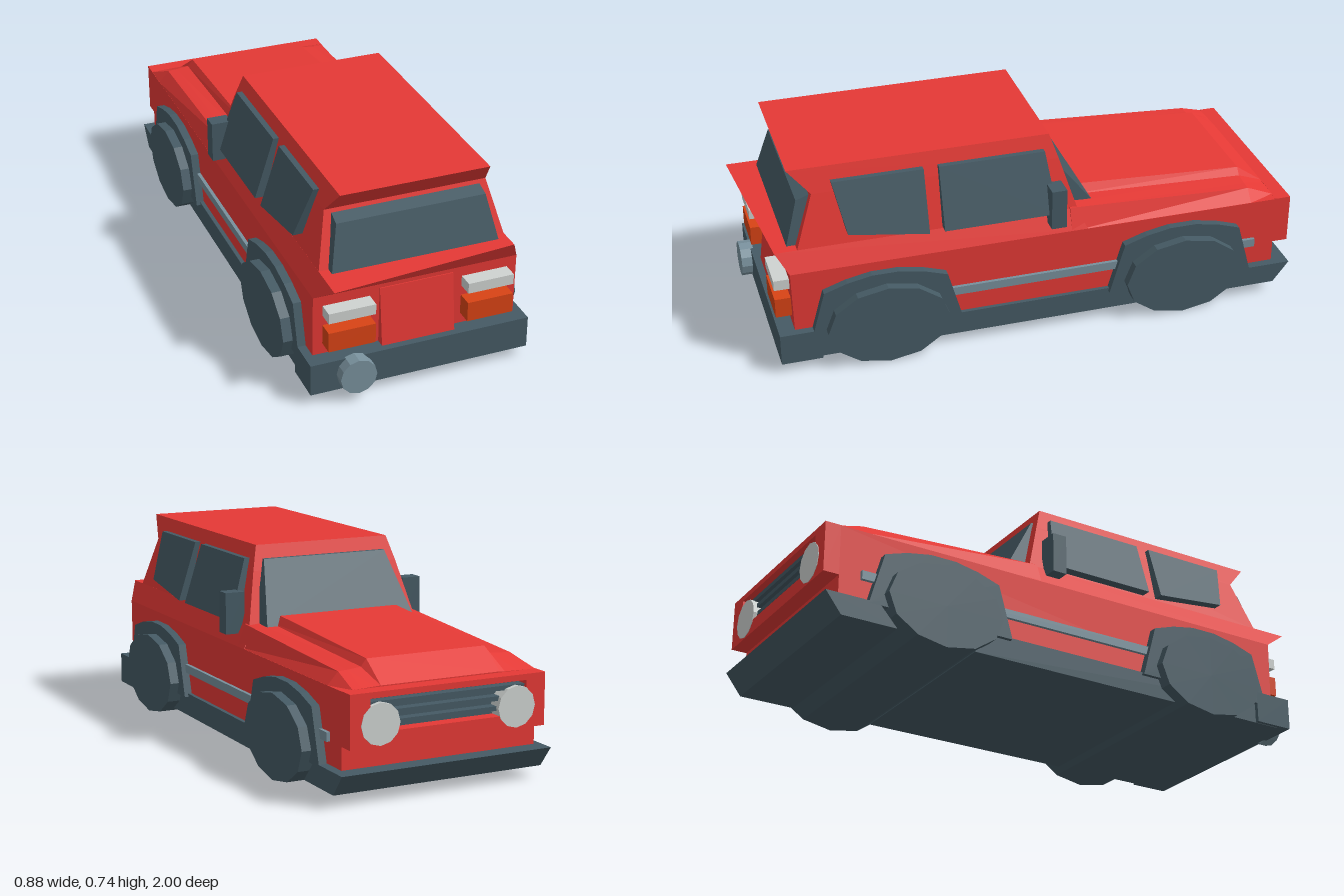
import * as THREE from 'three';

const mat = (name, color) => {
  const m = new THREE.MeshStandardMaterial({ color });
  m.name = name;
  return m;
};

// Flat-faced solid through matching loops of [x, y, z] points, closed at both ends
function loft(sections) {
  const n = sections[0].length, tris = [];
  for (let s = 0; s < sections.length - 1; s++) {
    const A = sections[s], B = sections[s + 1];
    for (let i = 0; i < n; i++) {
      const j = (i + 1) % n;
      tris.push([A[i], A[j], B[j]], [A[i], B[j], B[i]]);
    }
  }
  const first = sections[0], last = sections[sections.length - 1];
  for (let i = 1; i < n - 1; i++) {
    tris.push([first[0], first[i + 1], first[i]], [last[0], last[i], last[i + 1]]);
  }
  // signed volume decides which way the faces must turn
  const v = p => new THREE.Vector3(...p);
  const volume = tris.reduce((sum, [a, b, c]) => sum + v(a).dot(v(b).cross(v(c))), 0);
  if (volume < 0) tris.forEach(t => t.reverse());
  const g = new THREE.BufferGeometry();
  g.setAttribute('position', new THREE.Float32BufferAttribute(tris.flat(2), 3));
  g.computeVertexNormals();
  return g;
}

// Horizontal rectangle used as a body level
const level = (y, x, zFront, zRight, zLeft = zRight) =>
  [[-x, y, zFront], [x, y, zFront], [x, y, zLeft], [-x, y, zRight]];

// Side profile of [z, y] points run across from x0 to x1
const across = (profile, x0, x1) =>
  loft([x0, x1].map(x => profile.map(([z, y]) => [x, y, z])));

export function createModel() {
  const car = new THREE.Group();
  car.name = 'car';
  const red = mat('red paint', 0xe53935);
  const slate = mat('slate trim', 0x455a64);
  const steel = mat('steel', 0x78909c);
  const pale = mat('pale lamp', 0xcfd3d1);
  const orange = mat('orange lamp', 0xd84315);

  const add = (name, geometry, material) => {
    const m = new THREE.Mesh(geometry, material);
    m.name = name;
    car.add(m);
    return m;
  };
  const box = (name, material, x0, x1, y0, y1, z0, z1) =>
    add(name, new THREE.BoxGeometry(x1 - x0, y1 - y0, z1 - z0), material)
      .position.set((x0 + x1) / 2, (y0 + y1) / 2, (z0 + z1) / 2);
  const disc = (name, material, r, sides, x, y, z0, z1) => {
    const g = new THREE.CylinderGeometry(r, r, z1 - z0, sides).toNonIndexed();
    g.computeVertexNormals();
    g.rotateX(Math.PI / 2);
    add(name, g, material).position.set(x, y, (z0 + z1) / 2);
  };

  // Body, shoulder with uneven rear lip, and cabin with overhanging roof
  add('lowerBody', loft([level(0.12, 0.375, -0.94, 0.89), level(0.385, 0.375, -0.94, 0.895)]), red);
  add('shoulder', loft([level(0.385, 0.375, -0.2, 0.895), level(0.46, 0.34, -0.165, 1, 0.94)]), red);
  add('cabin', loft([
    level(0.455, 0.341, -0.17, 0.86),
    level(0.65, 0.295, -0.11, 0.79),
    level(0.74, 0.27, -0.08, 0.87),
  ]), red);

  // Hood with a raised centre, from windshield to nose
  const hoodSection = (z, edge, side, gutter, top) => {
    const half = [[0.375, 0.384], edge, side, gutter, top];
    const right = half.map(([x, y]) => [x, y, z]);
    return [...right, ...right.slice().reverse().map(([x, y]) => [-x, y, z])];
  };
  add('hood', loft([
    hoodSection(-0.14, [0.345, 0.465], [0.31, 0.468], [0.26, 0.47], [0.24, 0.503]),
    hoodSection(-0.84, [0.335, 0.428], [0.3, 0.43], [0.25, 0.435], [0.23, 0.461]),
    hoodSection(-0.94, [0.335, 0.386], [0.3, 0.387], [0.25, 0.388], [0.23, 0.39]),
  ]), red);

  // Nose frame around the grille opening
  const frame = new THREE.Shape([[-0.375, 0.2], [0.375, 0.2], [0.375, 0.386], [-0.375, 0.386]]
    .map(p => new THREE.Vector2(...p)));
  frame.holes.push(new THREE.Path([[-0.3, 0.25], [-0.3, 0.365], [0.3, 0.365], [0.3, 0.25]]
    .map(p => new THREE.Vector2(...p))));
  add('noseFrame', new THREE.ExtrudeGeometry(frame, { depth: 0.06, bevelEnabled: false }), red)
    .position.z = -0.998;
  box('grilleBack', slate, -0.3, 0.3, 0.25, 0.365, -0.95, -0.935);
  for (let i = 0; i < 3; i++) {
    const y = 0.267 + i * 0.034;
    box('grilleBar', slate, -0.3, 0.3, y, y + 0.016, -0.985, -0.945);
  }

  // Tailgate panel, standing out toward the bottom
  add('tailgate', loft([level(0.15, 0.135, 0.86, 0.925), level(0.37, 0.135, 0.86, 0.898)]), red);

  // Windshield and rear glass
  const pane = (xTop, yTop, zTop, xLow, yLow, zLow) =>
    [[-xTop, yTop, zTop], [xTop, yTop, zTop], [xLow, yLow, zLow], [-xLow, yLow, zLow]];
  add('windshield', loft([
    pane(0.26, 0.7, -0.04, 0.3, 0.46, -0.1),
    pane(0.25, 0.69, -0.105, 0.3, 0.465, -0.235),
  ]), slate);
  add('rearGlass', loft([
    pane(0.27, 0.645, 0.77, 0.305, 0.461, 0.8),
    pane(0.272, 0.62, 0.842, 0.305, 0.461, 0.89),
  ]), slate);

  // Raised side windows
  const windows = {
    frontSideWindow: [[0.335, 0.69], [-0.055, 0.69], [-0.085, 0.467], [0.335, 0.467]],
    rearSideWindow: [[0.72, 0.69], [0.39, 0.69], [0.39, 0.467], [0.68, 0.505]],
  };
  // Wheel arch outline, as offsets from the wheel centre
  const arch = [[-0.28, 0.11], [-0.225, 0.305], [-0.14, 0.333], [-0.05, 0.35],
    [0.05, 0.35], [0.14, 0.333], [0.225, 0.305], [0.28, 0.11]];

  for (const s of [-1, 1]) {
    for (const [name, outline] of Object.entries(windows)) {
      add(name, loft([0.06, 0].map(inset => outline.map(([z, y]) =>
        [s * (0.305 + (0.69 - y) * 0.32 - inset), y, z]))), slate);
    }
    const span = (a, b) => (s > 0 ? [a, b] : [-b, -a]);
    box('mirror', slate, ...span(0.33, 0.405), 0.425, 0.577, -0.108, -0.052);
    box('sideTrim', steel, ...span(0.36, 0.388), 0.2, 0.232, -0.86, 0.32);
    box('reverseLamp', pale, ...span(0.17, 0.34), 0.308, 0.347, 0.88, 0.95);
    box('tailLamp', orange, ...span(0.17, 0.34), 0.196, 0.27, 0.88, 0.95);
    disc('headlight', pale, 0.073, 12, s * 0.262, 0.277, -1, -0.95);
    for (const z of [-0.56, 0.56]) {
      add('wheelArch', across(arch.map(([dz, y]) => [z + dz, y]), s * 0.35, s * 0.405), slate);
    }
  }

  // Wide wheel pairs, flattened in height
  for (const z of [-0.56, 0.56]) {
    const g = new THREE.CylinderGeometry(1, 1, 0.88, 12).toNonIndexed();
    g.rotateZ(Math.PI / 2).scale(1, 0.154, 0.223);
    g.computeVertexNormals();
    add('wheelPair', g, slate).position.set(0, 0.154, z);
  }

  // Chassis, bumpers and exhaust
  box('chassis', slate, -0.39, 0.39, 0.036, 0.122, -0.42, 0.9);
  box('rearBumper', slate, -0.405, 0.405, 0.037, 0.155, 0.8, 0.95);
  add('frontBumper', across([[-0.73, 0.04], [-0.94, 0.04], [-1, 0.118], [-0.8, 0.118]], -0.405, 0.405), slate);
  disc('exhaust', steel, 0.066, 12, -0.245, 0.098, 0.94, 0.99);

  return car;
}
